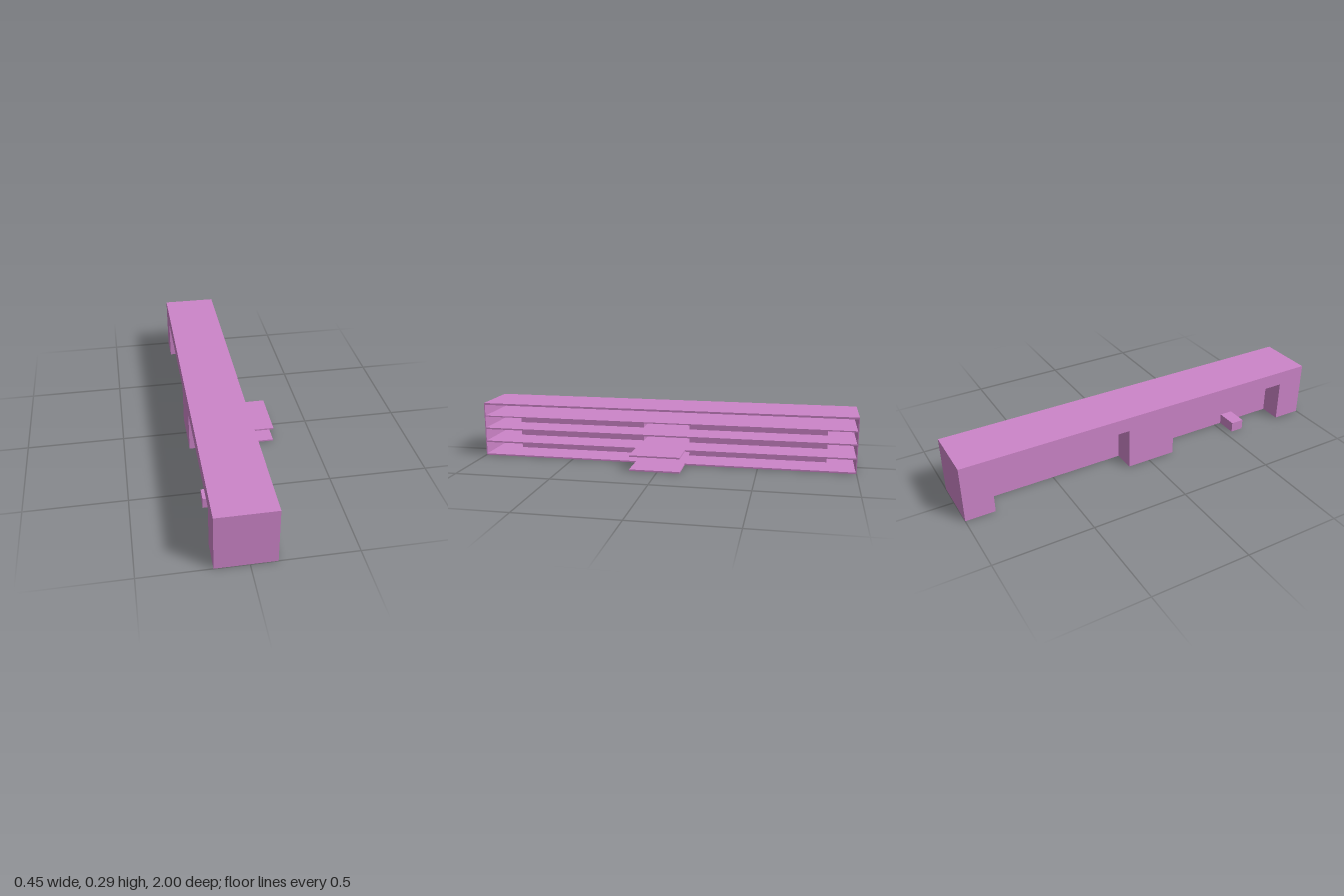
import * as THREE from 'three';

const FRONT = 0.126, BACK = -0.161, RECESS = -0.048, T = 0.005;
const LEVEL = 0.0735, LID_Y = 0.217, TOP = 0.293;

// Plan outline [x, z, inward z direction]: open at +x, three bays stick out at the back
const PLAN = [
  [FRONT, -1, 1], [BACK, -1, 1], [BACK, -0.85, -1], [RECESS, -0.85, -1],
  [RECESS, -0.12, 1], [BACK, -0.12, 1], [BACK, 0.145, -1], [RECESS, 0.145, -1],
  [RECESS, 0.85, 1], [BACK, 0.85, 1], [BACK, 1, -1], [FRONT, 1, -1],
];

export function createModel() {
  const model = new THREE.Group();
  const material = new THREE.MeshStandardMaterial({ color: 0xcc84c8, side: THREE.DoubleSide });

  const add = (name, geometry) => {
    const mesh = new THREE.Mesh(geometry, material);
    mesh.name = name;
    model.add(mesh);
    return mesh;
  };
  const box = (name, x0, x1, y0, y1, z0, z1) => {
    add(name, new THREE.BoxGeometry(x1 - x0, y1 - y0, z1 - z0))
      .position.set((x0 + x1) / 2, (y0 + y1) / 2, (z0 + z1) / 2);
  };
  const slab = (name, points, y0, y1) => {
    const shape = new THREE.Shape(points.map(([x, z]) => new THREE.Vector2(x, -z)));
    const geometry = new THREE.ExtrudeGeometry(shape, { depth: y1 - y0, bevelEnabled: false });
    geometry.rotateX(-Math.PI / 2);
    add(name, geometry).position.y = y0;
  };

  // Thin wall following the notched plan
  const inner = PLAN.map(([x, z, d]) => [x === FRONT ? x : x + T, z + d * T]);
  slab('lowerWall', [...PLAN, ...inner.reverse()], 0, LID_Y);

  // Three notched shelf floors
  for (let i = 0; i < 3; i++) {
    slab('shelfFloor' + (i + 1), PLAN, i * LEVEL, i * LEVEL + 0.008);
  }

  // Full-depth top compartment, open at the shelf side
  box('topFloor', BACK, FRONT, LID_Y, LID_Y + 0.006, -1, 1);
  box('topPanel', BACK, FRONT, TOP - 0.01, TOP, -1, 1);
  box('topBack', BACK, BACK + T, LID_Y, TOP, -1, 1);
  for (const s of [-1, 1]) {
    const z = s * (1 - T / 2);
    box('topEnd', BACK, FRONT, LID_Y, TOP, z - T / 2, z + T / 2);
  }

  // Two trays projecting from the lower shelves
  for (const y of [0, 0.075]) box('tray', FRONT - 0.003, 0.287, y, y + 0.008, -0.118, 0.146);

  // Small block on the recessed back wall
  box('backBlock', -0.155, RECESS, 0, 0.055, 0.54, 0.61);

  return model;
}
